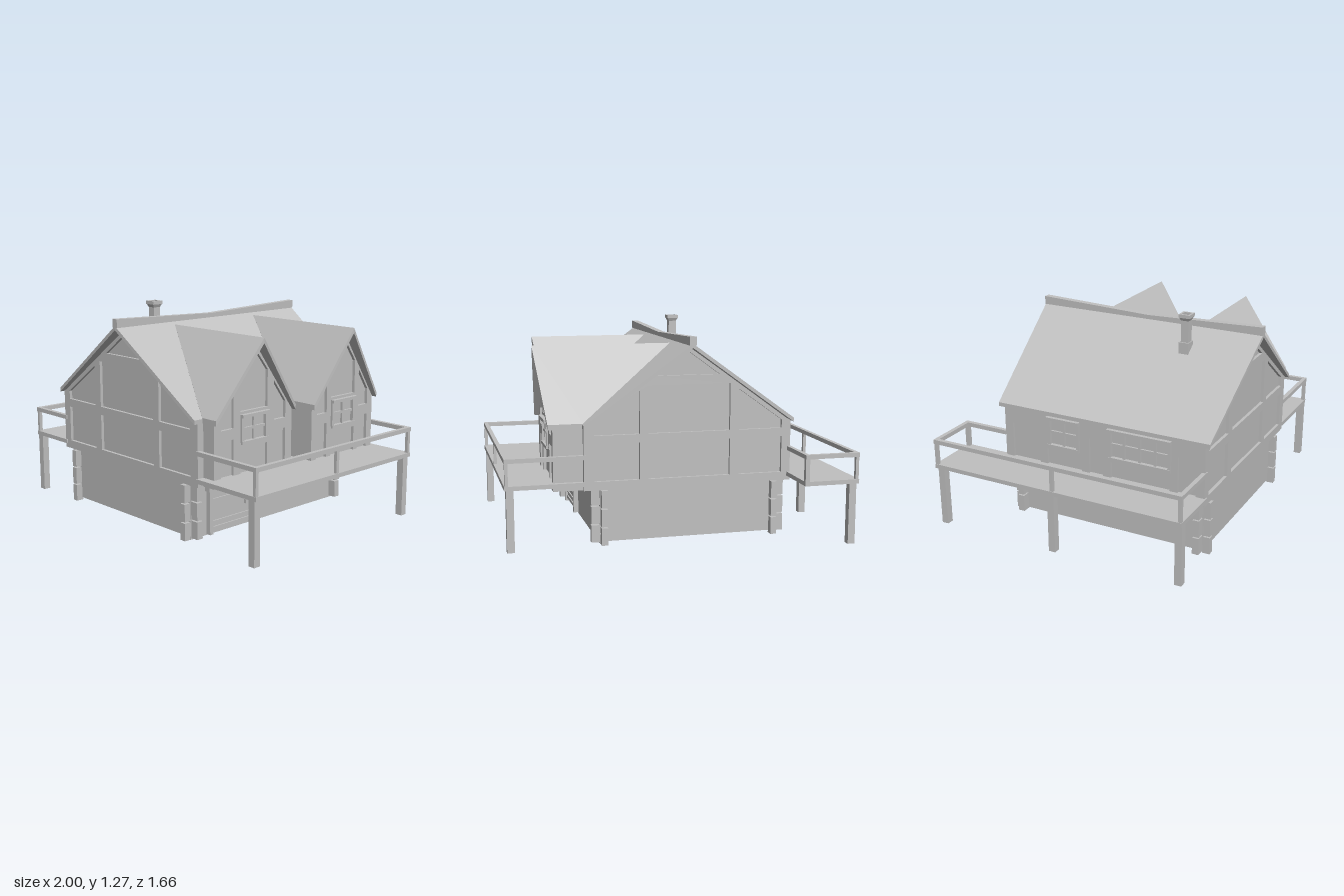
import * as THREE from 'three';

const grey = new THREE.MeshStandardMaterial({ color: 0xc0c0c0, flatShading: true });
grey.name = 'plain grey';

function add(parent, geo, name) {
  const m = new THREE.Mesh(geo, grey);
  m.name = name;
  parent.add(m);
  return m;
}
// Box given by its limits on each axis
function box(parent, name, x0, x1, y0, y1, z0, z1) {
  const m = add(parent, new THREE.BoxGeometry(x1 - x0, y1 - y0, z1 - z0), name);
  m.position.set((x0 + x1) / 2, (y0 + y1) / 2, (z0 + z1) / 2);
  return m;
}
function group(parent, name) {
  const g = new THREE.Group();
  g.name = name;
  parent.add(g);
  return g;
}
const toShape = pts => new THREE.Shape(pts.map(p => new THREE.Vector2(...p)));
const rect = (x0, x1, y0, y1) => [[x0, y0], [x1, y0], [x1, y1], [x0, y1]];
// Flat outline with panel holes, given depth along z from z0
function plate(parent, name, outline, holes, z0, depth) {
  const s = toShape(outline);
  holes.forEach(h => s.holes.push(new THREE.Path(h.map(p => new THREE.Vector2(...p)))));
  const geo = new THREE.ExtrudeGeometry(s, { depth, bevelEnabled: false });
  geo.translate(0, 0, z0);
  return add(parent, geo, name);
}
// Roof slab from four top corners (counter-clockwise from above), t thick downwards
function slab(parent, name, c, t) {
  const P = [...c, ...c.map(([x, y, z]) => [x, y - t, z])];
  const faces = [[0, 1, 2, 3], [7, 6, 5, 4]];
  for (let i = 0; i < 4; i++) { const j = (i + 1) % 4; faces.push([i, i + 4, j + 4, j]); }
  const v = [];
  for (const [a, b, d, e] of faces) for (const k of [a, b, d, a, d, e]) v.push(...P[k]);
  const geo = new THREE.BufferGeometry();
  geo.setAttribute('position', new THREE.Float32BufferAttribute(v, 3));
  geo.computeVertexNormals();
  return add(parent, geo, name);
}
// Framed window facing local +z, with its middle at (x, y)
function window4(parent, x, y, w, h, z, columns = 2) {
  const g = group(parent, 'window');
  g.position.set(x, y, z);
  const a = w / 2, b = h / 2, t = 0.018;
  box(g, 'windowPane', -a, a, -b, b, -0.02, -0.012);
  for (const s of [-1, 1]) box(g, 'windowSide', s * (a - t / 2) - t / 2, s * (a - t / 2) + t / 2, -b, b, -0.02, 0.008);
  box(g, 'windowSill', -a, a, -b, -b + t, -0.02, 0.012);
  box(g, 'windowHead', -a - 0.004, a + 0.004, b - t, b, -0.02, 0.022);
  box(g, 'windowBar', -a, a, -0.007, 0.007, -0.02, 0);
  for (let i = 1; i < columns; i++) {
    const u = -a + w * i / columns;
    box(g, 'windowMullion', u - 0.007, u + 0.007, -b, b, -0.02, 0.002);
  }
}

function lowerStorey(root) {
  const g = group(root, 'lowerStorey');
  const X0 = -0.62, X1 = 0.45, Z0 = -0.49, Z1 = 0.72, t = 0.015;
  // hollow walls, open underneath
  box(g, 'frontWall', X0, X1, 0.02, 0.34, Z1 - t, Z1);
  box(g, 'backWall', X0, X1, 0.02, 0.34, Z0, Z0 + t);
  box(g, 'leftWall', X1 - t, X1, 0.005, 0.34, Z0, Z1);
  box(g, 'rightWall', X0, X0 + t, 0.02, 0.34, Z0, Z1);
  // interlocking corner stones
  for (const [x, sx] of [[X0, -1], [X1, 1]]) for (const [z, sz] of [[Z0, -1], [Z1, 1]])
    for (let i = 0; i < 3; i++) {
      const y0 = 0.015 + i * 0.11, y1 = Math.min(y0 + 0.102, 0.34);
      const span = (c, s, a, b) => [Math.min(c + s * a, c + s * b), Math.max(c + s * a, c + s * b)];
      box(g, 'cornerStone', ...span(x, sx, -0.005, 0.05), y0, y1, ...span(z, sz, -0.045, -0.005));
      box(g, 'cornerStone', ...span(x, sx, -0.04, -0.003), y0 - 0.01, y1 - 0.01, ...span(z, sz, -0.005, 0.04));
    }
  // boarded door
  const d = group(g, 'door');
  box(d, 'doorLeaf', X1, X1 + 0.012, 0.02, 0.28, 0.27, 0.58);
  for (const z of [0.245, 0.575]) box(d, 'doorPost', X1, X1 + 0.03, 0.01, 0.27, z, z + 0.025);
  box(d, 'doorLintel', X1, X1 + 0.035, 0.265, 0.295, 0.235, 0.61);
  for (const y of [0.03, 0.195]) box(d, 'doorBatten', X1, X1 + 0.02, y, y + 0.02, 0.28, 0.57);
  box(d, 'doorBatten', X1, X1 + 0.02, 0.075, 0.085, 0.28, 0.57);
  box(d, 'doorHandle', X1, X1 + 0.03, 0.135, 0.16, 0.305, 0.317);
}

function upperStorey(root) {
  const g = group(root, 'upperStorey');
  const body = [[-0.675, 0.335], [0.55, 0.335], [0.55, 0.695], [-0.065, 1.143], [-0.675, 0.695]];
  plate(g, 'upperWalls', body, [], -0.52, 1.255);
  // timber framing of both gable ends
  const outline = [[-0.69, 0.335], [0.55, 0.335], [0.55, 0.695], [-0.065, 1.143], [-0.69, 0.69]];
  const holes = [
    rect(-0.635, -0.37, 0.385, 0.6), rect(-0.315, 0.175, 0.385, 0.6), rect(0.225, 0.49, 0.385, 0.6),
    rect(-0.315, 0.175, 0.65, 0.925),
    [[-0.635, 0.65], [-0.37, 0.65], [-0.37, 0.89], [-0.635, 0.7]],
    [[0.225, 0.65], [0.49, 0.65], [0.49, 0.71], [0.225, 0.9]],
    [[-0.25, 0.98], [0.12, 0.98], [-0.065, 1.115]],
  ];
  plate(g, 'frontTimbers', outline, holes, 0.735, 0.018);
  plate(g, 'backTimbers', outline, holes, -0.538, 0.018);
  // long wall with windows over the right deck
  const side = group(g, 'rightWallTimbers');
  side.rotation.y = -Math.PI / 2;
  const low = [[-0.485, -0.3], [-0.25, -0.02], [0.03, 0.12], [0.17, 0.54], [0.59, 0.7]];
  plate(side, 'sideTimbers', rect(-0.535, 0.75, 0.335, 0.7),
    [...low.map(([a, b]) => rect(a, b, 0.385, [-0.25, 0.17].includes(a) ? 0.48 : 0.6)),
      rect(-0.235, -0.035, 0.51, 0.68), rect(0.17, 0.54, 0.51, 0.68)], 0.674, 0.016);
  window4(side, -0.135, 0.595, 0.21, 0.19, 0.694);
  window4(side, 0.355, 0.595, 0.39, 0.19, 0.694, 4);
}

// Dormer facing +x: middle z, half width, wall x, ridge end x, eave end x
function dormer(root, zc, h, xw, xp, xe) {
  const g = group(root, 'dormer');
  g.position.z = zc;
  const turned = group(g, 'dormerWall');
  turned.rotation.y = Math.PI / 2;
  const k = h / 0.31, w = h - 0.008, top = 1.11;
  const roofY = u => top - (top - 0.695) * Math.abs(u) / w;
  const outline = [[-w, 0.335], [w, 0.335], [w, 0.695], [0, top], [-w, 0.695]];
  plate(turned, 'dormerBody', outline, [], 0.3, xw - 0.318);
  const a = 0.105, p = 0.157 * k, q = 0.25 * k;
  const holes = [rect(-a, a, 0.385, 0.53), rect(-a, a, 0.56, 0.705),
    [[-a, 0.735], [a, 0.735], [a, roofY(a) - 0.02], [0, top - 0.03], [-a, roofY(a) - 0.02]]];
  for (const s of [-1, 1]) {
    holes.push(rect(s * p, s * q, 0.385, 0.59));
    holes.push([[s * p, 0.65], [s * q, 0.65], [s * q, roofY(q) - 0.02], [s * p, roofY(p) - 0.02]]);
  }
  plate(turned, 'dormerTimbers', outline, holes, xw - 0.018, 0.018);
  window4(turned, 0, 0.635, 0.205, 0.17, xw + 0.002);
  // steep roof running back into the main slope
  const Y = 1.14, E = 0.72;
  slab(g, 'dormerRoof', [[-0.03, Y, 0], [0.55, E, h], [xe, E, h], [xp, Y, 0]], 0.03);
  slab(g, 'dormerRoof', [[xp, Y, 0], [xe, E, -h], [0.55, E, -h], [-0.03, Y, 0]], 0.03);
}

function mainRoof(root) {
  const g = group(root, 'mainRoof');
  const x = -0.065, Y = 1.165, F = 0.825, B = -0.62;
  slab(g, 'rightSlope', [[x, Y, B], [-0.695, 0.715, -0.575], [-0.695, 0.715, 0.78], [x, Y, F]], 0.024);
  slab(g, 'leftSlope', [[x, Y, F], [0.555, 0.715, 0.78], [0.555, 0.715, -0.575], [x, Y, B]], 0.024);
  // sagging ridge beam
  const geo = new THREE.BoxGeometry(0.04, 0.05, F - B, 1, 1, 2);
  const p = geo.attributes.position;
  for (let i = 0; i < p.count; i++)
    if (p.getY(i) > 0 && Math.abs(p.getZ(i)) < 0.1) p.setY(i, 0);
  add(g, geo, 'ridgeBeam').position.set(x, 1.18, (F + B) / 2);
  // chimney, square with flared top and foot
  const c = group(root, 'chimney');
  box(c, 'chimneyFoot', -0.25, -0.185, 0.99, 1.1, 0.38, 0.44);
  box(c, 'chimneyShaft', -0.24, -0.192, 1.05, 1.23, 0.388, 0.434);
  const flare = add(c, new THREE.CylinderGeometry(0.047, 0.034, 0.02, 4, 1, true, Math.PI / 4), 'chimneyFlare');
  flare.position.set(-0.216, 1.238, 0.411);
  const rim = plate(c, 'chimneyRim', rect(-0.035, 0.035, -0.035, 0.035), [rect(-0.022, 0.022, -0.022, 0.022)], 0, 0.02);
  rim.rotation.x = -Math.PI / 2;
  rim.position.set(-0.216, 1.246, 0.411);
}

// Deck from the house (xi) to its outer edge (xo), with rails on three sides
function deck(root, name, xi, xo, z0, z1, supports, railPosts) {
  const g = group(root, name);
  const s = Math.sign(xo), t = 0.025;
  const bx = (n, a, b, ...r) => box(g, n, Math.min(a, b), Math.max(a, b), ...r);
  bx('deckFloor', xi, xo, 0.36, 0.385, z0, z1);
  bx('sideRail', xo, xo - s * t, 0.515, 0.54, z0, z1);
  for (const z of [z0, z1 - t]) bx('endRail', xi, xo - s * t, 0.515, 0.54, z, z + t);
  for (const z of [z0, ...railPosts, z1 - t]) bx('railPost', xo - s * 0.003, xo - s * (t - 0.003), 0.385, 0.515, z + 0.002, z + t - 0.002);
  for (const z of supports) bx('deckSupport', xo - s * 0.01, xo - s * 0.053, 0, 0.36, z - 0.021, z + 0.021);
  return g;
}

export function createModel() {
  const root = new THREE.Group();
  root.name = 'chalet';
  lowerStorey(root);
  upperStorey(root);
  dormer(root, 0.41, 0.31, 0.635, 0.71, 0.66);
  dormer(root, -0.24, 0.28, 0.722, 0.795, 0.75);
  mainRoof(root);
  deck(root, 'leftDeck', 0.54, 1, -0.54, 0.76, [-0.51, 0.738], [0.105]);
  const right = deck(root, 'rightDeck', -0.67, -1, -0.835, 0.76, [-0.8, -0.05, 0.738], [-0.05]);
  // short return rail beside the back corner
  box(right, 'returnRailPost', -0.695, -0.67, 0.385, 0.515, -0.835, -0.81);
  box(right, 'returnRail', -0.695, -0.67, 0.515, 0.54, -0.81, -0.538);
  return root;
}
